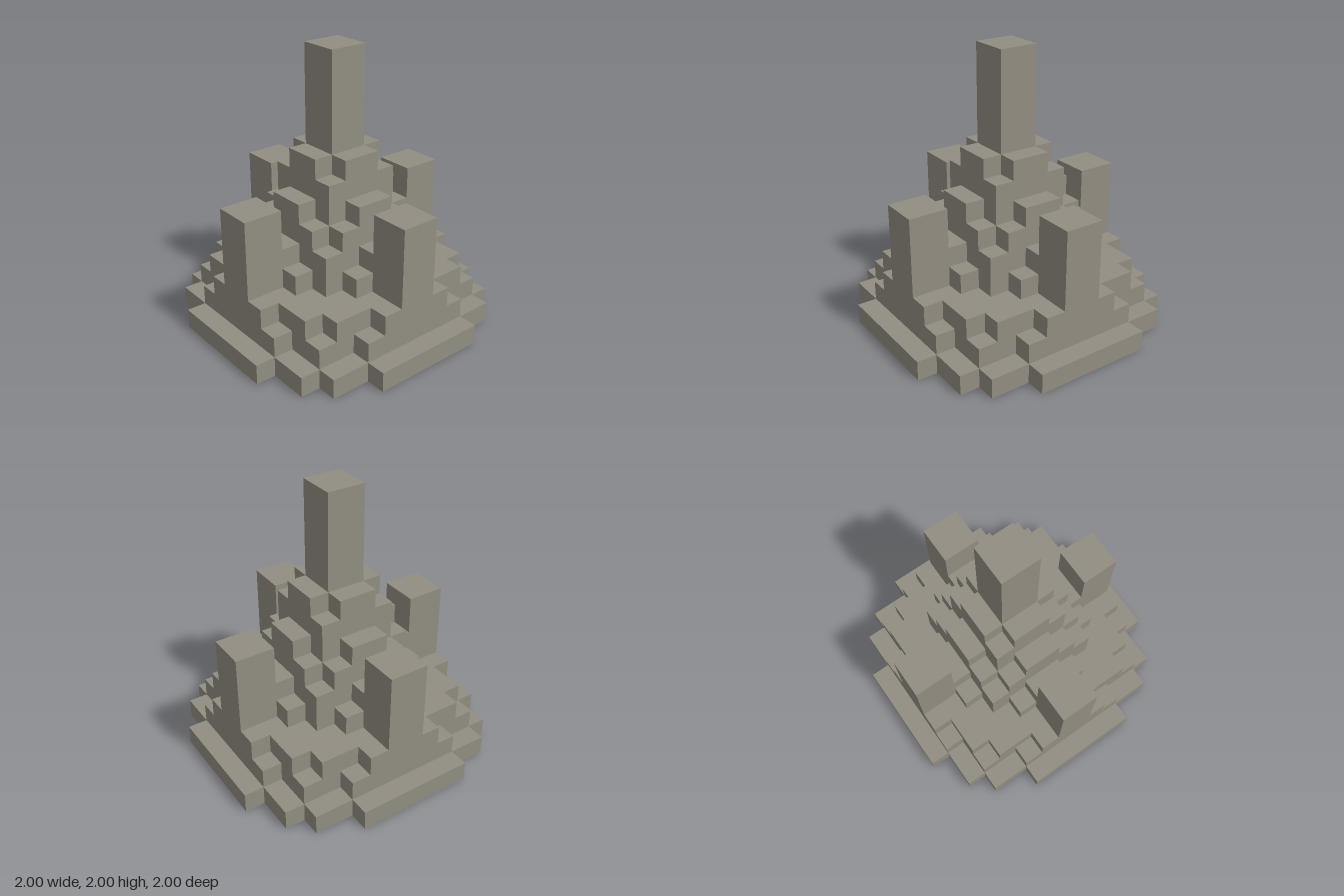
import * as THREE from 'three';

const U = 1 / 7; // edge of one block

// Stepped outline: extents[j] is the half width of row j; one quadrant turned four times
function steppedShape(extents) {
  const corner = [];
  extents.forEach((e, j) => {
    if (j > 0 && extents[j - 1] !== e) corner.push([e, j]);
    if (extents[j + 1] !== e) corner.push([e, j + 1]);
  });
  const points = [];
  for (let q = 0; q < 4; q++) {
    for (const [x, y] of corner) {
      const turned = [[x, y], [-y, x], [-x, -y], [y, -x]][q];
      points.push(new THREE.Vector2(turned[0] * U, turned[1] * U));
    }
  }
  return new THREE.Shape(points);
}

export function createModel() {
  const model = new THREE.Group();
  model.name = 'steppedMound';
  const stone = new THREE.MeshStandardMaterial({ color: 0x928e82 });
  stone.name = 'stone';

  // Layers from the ground up, each one block high
  const layers = [
    [7, 7, 7, 6, 6, 5, 3],
    [6, 6, 6, 5, 5, 3],
    [6, 6, 5, 5, 4, 2],
    [4, 4, 3, 2],
    [4, 3, 3, 1],
    [3, 3, 2],
    [3, 2, 1],
    [2, 2],
    [2, 1],
  ];
  layers.forEach((extents, level) => {
    const geometry = new THREE.ExtrudeGeometry(steppedShape(extents), { depth: U, bevelEnabled: false });
    geometry.rotateX(-Math.PI / 2);
    const mesh = new THREE.Mesh(geometry, stone);
    mesh.name = level < 3 ? `baseLayer${level + 1}` : `moundLayer${level - 2}`;
    mesh.position.y = level * U;
    model.add(mesh);
  });

  // Square pillar two blocks wide
  const addPillar = (name, x, z, bottom, top) => {
    const mesh = new THREE.Mesh(new THREE.BoxGeometry(2 * U, (top - bottom) * U, 2 * U), stone);
    mesh.name = name;
    mesh.position.set(x * U, ((top + bottom) / 2) * U, z * U);
    model.add(mesh);
  };
  addPillar('centralSpire', 0, 0, 9, 14);
  addPillar('frontPillar', 0, 5, 3, 7);
  addPillar('backPillar', 0, -5, 3, 7);
  addPillar('leftPillar', 5, 0, 3, 7);
  addPillar('rightPillar', -5, 0, 3, 7);

  return model;
}
